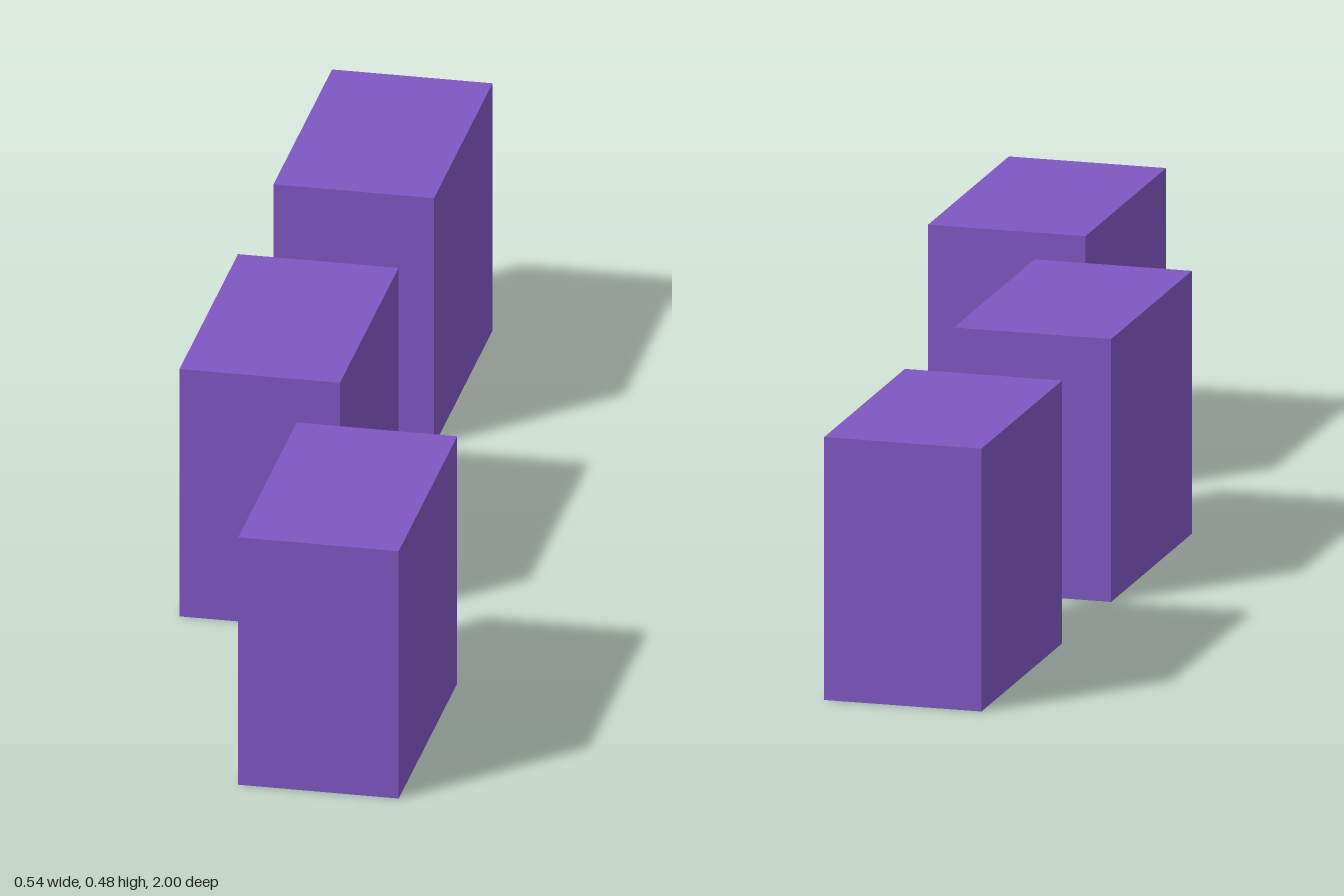
import * as THREE from 'three';

export function createModel() {
  const model = new THREE.Group();
  model.name = 'blocks';

  const width = 0.29, height = 0.48, depth = 0.504;
  const geometry = new THREE.BoxGeometry(width, height, depth);
  const material = new THREE.MeshStandardMaterial({ color: 0x7e57c2 });

  // Three equal blocks in a row, the front one stepped to the left
  const blocks = [
    ['frontBlock', 0.125, 0.748],
    ['middleBlock', -0.125, 0.062],
    ['backBlock', -0.125, -0.748],
  ];
  for (const [name, x, z] of blocks) {
    const block = new THREE.Mesh(geometry, material);
    block.name = name;
    block.position.set(x, height / 2, z);
    model.add(block);
  }
  return model;
}
